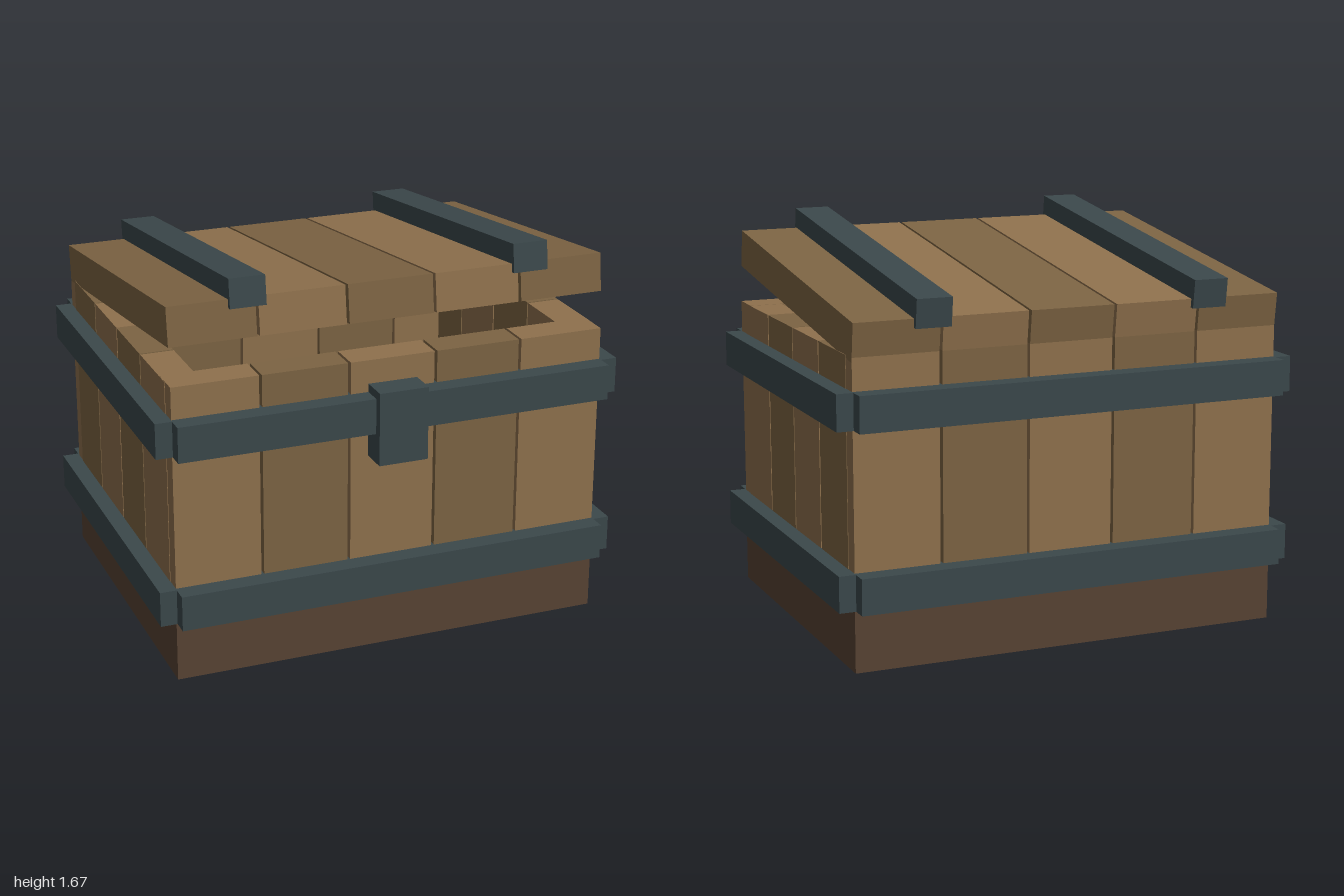
import * as THREE from 'three';

const mat = (color) => new THREE.MeshStandardMaterial({ color });

export function createModel() {
  const chest = new THREE.Group();
  chest.name = 'openCrate';
  const light = mat(0x8f714d), dark = mat(0x7d6443);
  const baseWood = mat(0x584333), iron = mat(0x3b484b);

  // Box given by its minimum and maximum corners
  function box(name, material, min, max, parent = chest) {
    const size = max.map((v, i) => v - min[i]);
    const mesh = new THREE.Mesh(new THREE.BoxGeometry(...size), material);
    mesh.position.set(...max.map((v, i) => (v + min[i]) / 2));
    mesh.name = name;
    parent.add(mesh);
    return mesh;
  }

  // Solid base
  box('base', baseWood, [-0.93, 0, -0.745], [0.93, 0.3, 0.71]);

  // Front and back walls: five upright planks each
  const bottom = 0.3, top = 1.27, half = 0.181;
  for (let i = -2; i <= 2; i++) {
    const x = i * 0.375 * 0.997;
    const wood = i % 2 ? dark : light;
    box('frontPlank', wood, [x - half, bottom, 0.57], [x + half, top, 0.71]);
    box('backPlank', wood, [x - half, bottom, -0.745], [x + half, top, -0.605]);
  }

  // Side walls: four upright planks each, alternating from the front
  for (const side of [-1, 1]) {
    for (let i = 0; i < 4; i++) {
      const z = 0.478 - i * 0.331;
      const xs = [side * 0.79, side * 0.931].sort((a, b) => a - b);
      box('sidePlank', i % 2 ? dark : light,
        [xs[0], bottom, z - 0.161], [xs[1], top - 0.001, z + 0.161]);
    }
  }

  // Iron bands, lower and upper
  for (const y of [0.26, 0.985]) {
    const y1 = y + 0.15;
    box('frontBand', iron, [-0.93, y, 0.65], [0.93, y1, 0.793]);
    box('backBand', iron, [-0.93, y, -0.83], [0.93, y1, -0.69]);
    box('leftBand', iron, [0.86, y, -0.762], [1, y1, 0.725]);
    box('rightBand', iron, [-1, y, -0.762], [-0.86, y1, 0.725]);
  }

  // Latch plate
  box('latch', iron, [-0.105, 0.86, 0.7], [0.105, 1.17, 0.83]);

  // Tilted lid: five planks and two iron straps
  const lid = new THREE.Group();
  lid.name = 'lid';
  lid.position.set(0, 1.417, -0.033);
  lid.rotation.x = -0.125;
  for (let i = -2; i <= 2; i++) {
    const x = i * 0.375 * 0.997;
    box('lidPlank', i % 2 ? light : dark,
      [x - half, -0.08, -0.725], [x + half, 0.08, 0.725], lid);
  }
  for (const x of [-0.603, 0.603]) {
    box('lidStrap', iron, [x - 0.075, 0.044, -0.745], [x + 0.075, 0.164, 0.745], lid);
  }
  chest.add(lid);
  return chest;
}
